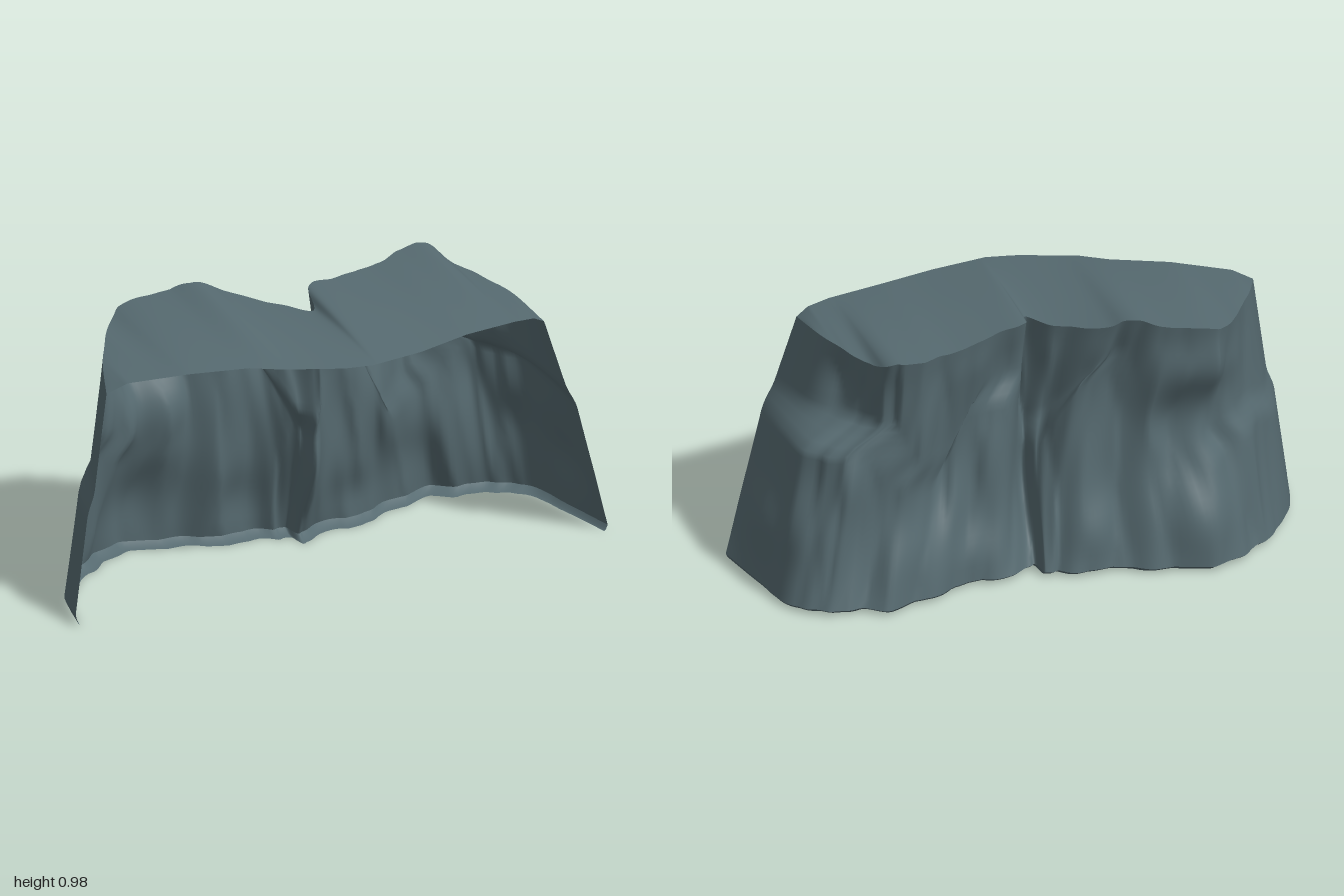
import * as THREE from 'three';

// Outline of the cliff foot, from the right end round the back to the left end: x, z
const FOOT = [[-1, .14], [-.95, -.06], [-.86, -.2], [-.78, -.31], [-.6, -.38], [-.42, -.36], [-.28, -.32],
  [-.1, -.31], [-.02, -.28], [.01, -.22], [.12, -.27], [.28, -.29], [.42, -.34], [.57, -.38], [.72, -.36],
  [.82, -.34], [.91, -.22], [.95, -.06], [1, .16]];
// Matching rim of the plateau: x, y, z
const RIM = [[-.87, .83, .11], [-.81, .87, -.05], [-.73, .89, -.2], [-.65, .9, -.32], [-.56, .93, -.375],
  [-.42, .95, -.37], [-.32, .975, -.33], [-.23, .94, -.28], [-.09, .91, -.18], [0, .91, -.09], [.04, .95, -.2],
  [.18, .94, -.24], [.32, .93, -.3], [.45, .94, -.36], [.55, .95, -.37], [.6, .91, -.27], [.66, .9, -.14],
  [.7, .89, .02], [.725, .86, .235]];
// Height of the ledge on each buttress, as a share of the wall height, and how strongly it steps back
const LEDGE = [.5, .5, .55, .5, .4, .42, .8, .8, .55, .5, .72, .74, .45, .5, .66, .67, .67, .66, .65];
const STEP = [.2, .3, .45, .6, .7, .7, .8, .8, .6, .5, .9, .9, .6, .6, .95, .95, .75, .4, .1];
// Bulges and hollows on the wall: place along it, height share, half width, half height, depth
const LUMPS = [
  [.25, .2, .05, .16, .05], [.25, .58, .06, .12, -.03], [.21, .8, .07, .1, .03], [.36, .14, .035, .12, .03],
  [.41, .6, .02, .3, .02], [.51, .35, .02, .16, -.03], [.58, .55, .02, .2, .03], [.6, .1, .035, .1, .025],
  [.65, .42, .022, .18, -.035], [.7, .18, .04, .13, .025], [.71, .6, .02, .25, .015], [.79, .5, .025, .13, .03],
  [.87, .3, .04, .14, .025], [.95, .24, .03, .12, .02], [.895, .84, .03, .13, -.05]];
// Front edge of the plateau: x, y, z
const FRONT = [[-.87, .83, .11], [-.8, .865, .13], [-.6, .89, .2], [-.4, .9, .26], [-.3, .9, .32], [-.1, .895, .39],
  [0, .895, .405], [.2, .895, .37], [.4, .9, .31], [.6, .895, .27], [.68, .885, .25], [.725, .86, .235]];

const COLS = 160, ROWS = 34;
const { lerp, smoothstep, clamp } = THREE.MathUtils;
const curve = pts => new THREE.CatmullRomCurve3(pts.map(p => new THREE.Vector3(...p)), false, 'centripetal');
const footCurve = curve(FOOT.map(([x, z], i) => [x, i === 0 ? .04 : .02, z]));
const rimCurve = curve(RIM);

function sample(list, u) {
  const f = u * (list.length - 1), i = Math.min(Math.floor(f), list.length - 2);
  return lerp(list[i], list[i + 1], f - i);
}

// Rounded vertical ribs with sharp clefts between them
const rib = a => Math.abs(Math.sin(a)) - .6;

// Point on the craggy wall: u runs along it, t from foot to rim
function wallPoint(u, t) {
  const foot = footCurve.getPoint(u), rim = rimCurve.getPoint(u);
  const h = sample(LEDGE, u), step = sample(STEP, u);
  const f = lerp(t, smoothstep(t, h - .06, h + .06) * .7 + t * .3, step);
  const p = new THREE.Vector3(lerp(foot.x, rim.x, f), lerp(foot.y, rim.y, t), lerp(foot.z, rim.z, f));
  const back = smoothstep(Math.min(u, 1 - u), .04, .22);
  const out = new THREE.Vector3(p.x * .5, 0, p.z - .3).normalize();
  const sway = Math.sin(t * 5 + u * 17) * .5;
  const crag = .028 * rib(u * 37 + sway) + .016 * rib(u * 71 + 2 - sway) * Math.sin(t * 7 + u * 23)
    + .01 * Math.sin(t * 9 + u * 29);
  const hollow = -.085 * Math.sin(Math.PI * t);
  let push = back * (hollow + crag * lerp(1, .5, smoothstep(t, .85, 1)));
  for (const [lu, lt, du, dt, depth] of LUMPS)
    push += depth * Math.exp(-(((u - lu) / du) ** 2) - ((t - lt) / dt) ** 2);
  p.addScaledVector(out, push);
  // the left end swings forward, with a corner at mid height
  p.z += .042 * Math.min(t / .65, (1 - t) / .35) * smoothstep(u, .9, 1);
  return p;
}

// Point on the front edge of the plateau at a given x
function frontPoint(x) {
  let i = 0;
  while (i < FRONT.length - 2 && x > FRONT[i + 1][0]) i++;
  const a = FRONT[i], b = FRONT[i + 1];
  return new THREE.Vector3(...a).lerp(new THREE.Vector3(...b), clamp((x - a[0]) / (b[0] - a[0]), 0, 1));
}

// Grid surface from a rule giving a point for each column and row
function sheet(cols, rows, rule) {
  const pos = [], index = [];
  for (let r = 0; r <= rows; r++)
    for (let c = 0; c <= cols; c++) pos.push(...rule(c / cols, r / rows).toArray());
  for (let r = 0; r < rows; r++)
    for (let c = 0; c < cols; c++) {
      const a = r * (cols + 1) + c, d = a + cols + 1;
      index.push(a, d, a + 1, a + 1, d, d + 1);
    }
  const g = new THREE.BufferGeometry();
  g.setAttribute('position', new THREE.Float32BufferAttribute(pos, 3));
  g.setIndex(index);
  g.computeVertexNormals();
  return g;
}

export function createModel() {
  const group = new THREE.Group();
  group.name = 'cliff';
  const rock = new THREE.MeshStandardMaterial({ color: 0x566a70, side: THREE.DoubleSide });
  rock.name = 'slate rock';
  const add = (name, geometry) => {
    const mesh = new THREE.Mesh(geometry, rock);
    mesh.name = name;
    group.add(mesh);
  };

  // Craggy wall, open towards the front
  add('cliffWall', sheet(COLS, ROWS, wallPoint));

  // Lip turned inwards under the foot, narrowing at both ends
  add('footLip', sheet(COLS, 2, (u, s) => {
    const p = wallPoint(u, 0);
    const inward = new THREE.Vector3(-p.x * .5, 0, .3 - p.z).normalize();
    p.addScaledVector(inward, s * lerp(.015, .045, smoothstep(Math.min(u, 1 - u), 0, .2)));
    p.y *= (1 - s) ** 2;
    return p;
  }));

  // Plateau from the rim to the jutting front edge
  add('plateau', sheet(COLS, 10, (u, s) => {
    const rim = wallPoint(u, 1);
    const p = rim.clone().lerp(frontPoint(rim.x), s);
    p.y += .008 * Math.sin(Math.PI * s) * Math.sin(Math.PI * u);
    return p;
  }));
  return group;
}
